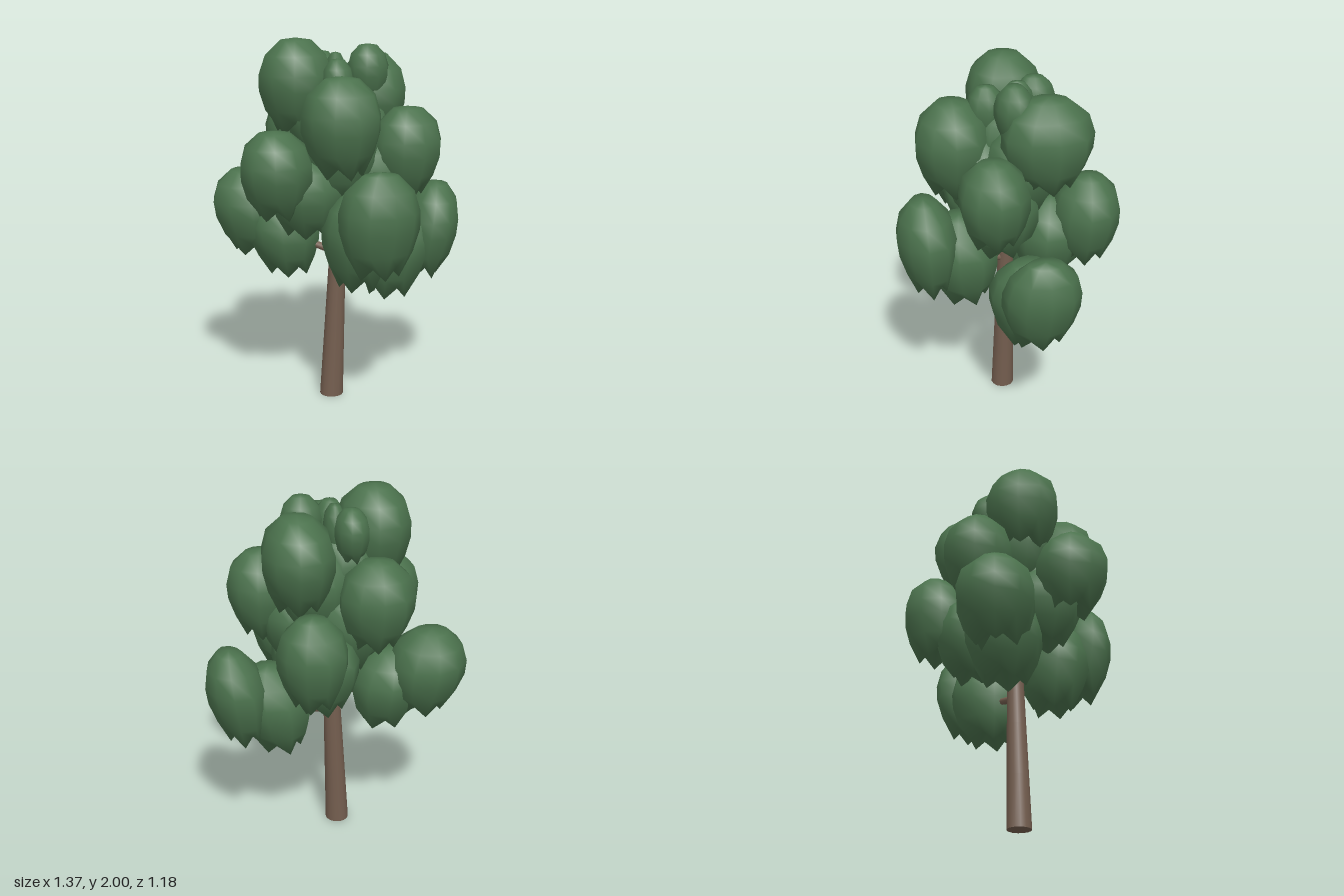
import * as THREE from 'three';
import { mergeVertices } from 'three/addons/utils/BufferGeometryUtils.js';

const leafGreen = new THREE.MeshStandardMaterial({ color: 0x4b724d });
leafGreen.name = 'leaf green';
const barkBrown = new THREE.MeshStandardMaterial({ color: 0x745e4f });
barkBrown.name = 'bark brown';

// Centreline and radius of the trunk at height y
const trunkAt = (y) => new THREE.Vector3(-0.06 + 0.045 * y, y, -0.01 - 0.01 * y);
const trunkRadius = (y) => 0.065 - 0.024 * y;

// Clump outline, hollow underside first, then ragged hem, flanks and flat crown
const outline = [[0, -0.55], [0.52, -0.88], [0.83, -0.5], [0.99, -0.08], [1.0, 0.25], [0.84, 0.65], [0.43, 0.95], [0, 1]]
  .map(([x, y]) => new THREE.Vector2(x, y));

// Leaf clump: broad-shouldered dome whose foot is swept in towards the trunk (lean)
function clumpGeometry(rx, ry, rz, seed, lean) {
  let g = new THREE.LatheGeometry(outline, 10);
  g.deleteAttribute('normal');
  g.deleteAttribute('uv');
  g = mergeVertices(g, 1e-4);
  const p = g.attributes.position;
  for (let i = 0; i < p.count; i++) {
    const x = p.getX(i), y = p.getY(i), z = p.getZ(i);
    const a = Math.atan2(z, x);
    const lump = 1.01 + 0.03 * Math.sin(3 * a + seed * 2.1 + y * 2);
    const r = Math.hypot(x, z) * lump;
    const hem = y < -0.8 ? 0.12 * Math.sin(5 * a) : 0;
    const turn = a + seed * 1.3;
    const h = (y + hem) * ry;
    p.setXYZ(i, Math.cos(turn) * r * rx + lean.x * h, h, Math.sin(turn) * r * rz + lean.z * h);
  }
  g.computeVertexNormals();
  return g;
}

function addClump(parent, name, c, r, seed, lean) {
  const m = new THREE.Mesh(clumpGeometry(r[0], r[1], r[2], seed, lean), leafGreen);
  m.name = name;
  m.position.copy(c);
  parent.add(m);
}

// Tapered round limb from a to b
function addLimb(parent, name, a, b, ra, rb) {
  const d = b.clone().sub(a);
  const m = new THREE.Mesh(new THREE.CylinderGeometry(rb, ra, d.length(), 12), barkBrown);
  m.name = name;
  m.position.copy(a).addScaledVector(d, 0.5);
  m.quaternion.setFromUnitVectors(new THREE.Vector3(0, 1, 0), d.normalize());
  parent.add(m);
}

export function createModel() {
  const tree = new THREE.Group();
  tree.name = 'tree';

  // Trunk: leaning, tapered, cut level at the ground
  const trunkGeo = new THREE.CylinderGeometry(1, 1, 1.7, 14, 6);
  trunkGeo.translate(0, 0.85, 0);
  const tp = trunkGeo.attributes.position;
  for (let i = 0; i < tp.count; i++) {
    const y = tp.getY(i), c = trunkAt(y), r = trunkRadius(y);
    tp.setXYZ(i, c.x + tp.getX(i) * r, y, c.z + tp.getZ(i) * r);
  }
  trunkGeo.computeVertexNormals();
  const trunk = new THREE.Mesh(trunkGeo, barkBrown);
  trunk.name = 'trunk';
  tree.add(trunk);

  // Large clumps: centre x, y, z, radii x, y, z, then outward sweep
  const clumps = [
    [-0.47, 1.03, -0.28, 0.205, 0.24, 0.205, 0.1],
    [-0.18, 1.44, -0.29, 0.195, 0.24, 0.19, 0.03],
    [-0.38, 1.32, 0.175, 0.19, 0.23, 0.195, 0.03],
    [-0.24, 1.75, -0.05, 0.195, 0.25, 0.20, 0],
    [0.205, 1.66, -0.19, 0.185, 0.25, 0.235, 0],
    [0.52, 0.92, -0.10, 0.155, 0.27, 0.205, 0.14],
    [0.325, 1.41, 0.11, 0.185, 0.24, 0.18, 0.03],
    [-0.05, 1.57, 0.255, 0.205, 0.26, 0.20, 0],
    [0.11, 1.09, 0.425, 0.21, 0.28, 0.16, 0.06],
    [0.185, 1.21, -0.41, 0.18, 0.25, 0.18, 0.04],
  ];
  clumps.forEach(([x, y, z, rx, ry, rz, sweep], i) => {
    const branch = new THREE.Group();
    branch.name = 'bough' + (i + 1);
    const tip = new THREE.Vector3(x, y, z);
    const inward = trunkAt(y - 0.29).sub(tip).setLength(0.24);
    const inner = tip.clone().add(inward);
    const lean = inward.clone().setY(0).normalize().multiplyScalar(-sweep);
    addLimb(branch, 'branch', trunkAt(y - 0.2), inner, 0.022, 0.014);
    addClump(branch, 'outerLeaves', tip, [rx, ry, rz], i + 1, lean);
    addClump(branch, 'innerLeaves', inner, [0.2, ry * 0.95, 0.2], i + 4.5, lean);
    tree.add(branch);
  });

  // Small tufts around the treetop
  const upright = new THREE.Vector3();
  const tufts = [
    [0.145, 1.81, -0.03, 0.11, 0.155, 0.10],
    [-0.04, 1.75, 0.08, 0.085, 0.15, 0.10],
    [-0.08, 1.78, -0.18, 0.09, 0.14, 0.11],
    [-0.02, 1.77, -0.08, 0.06, 0.15, 0.09],
  ];
  tufts.forEach(([x, y, z, rx, ry, rz], i) =>
    addClump(tree, 'topTuft' + (i + 1), new THREE.Vector3(x, y, z), [rx, ry, rz], i + 20, upright));

  return tree;
}
